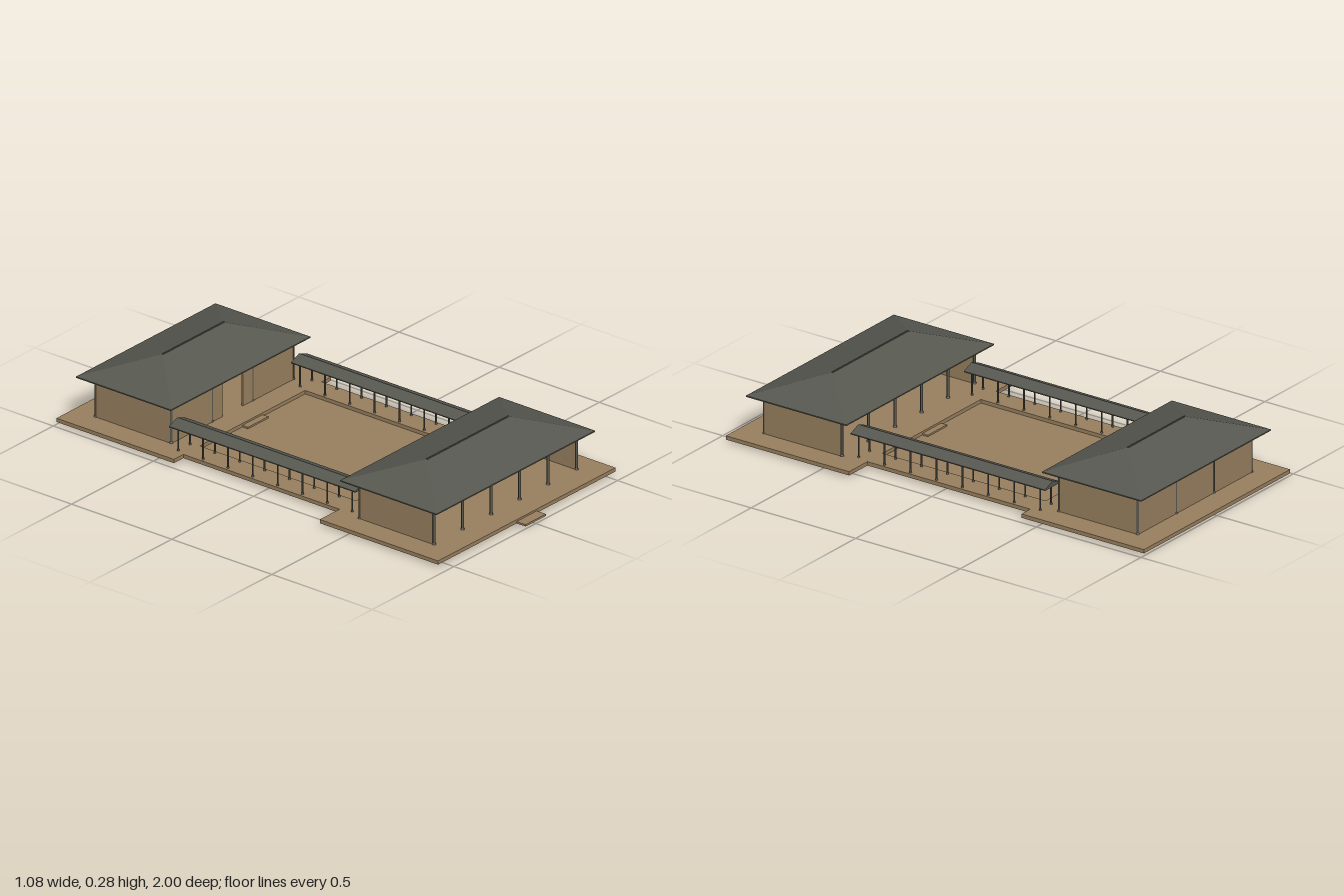
import * as THREE from 'three';

const tan = new THREE.MeshStandardMaterial({ color: 0x9a8160 });
tan.name = 'tan earth';
const slate = new THREE.MeshStandardMaterial({ color: 0x575850 });
slate.name = 'grey slate';

// Box given by its limits on each axis
function box(name, mat, [x0, x1], [y0, y1], [z0, z1]) {
  const mesh = new THREE.Mesh(new THREE.BoxGeometry(x1 - x0, y1 - y0, z1 - z0), mat);
  mesh.position.set((x0 + x1) / 2, (y0 + y1) / 2, (z0 + z1) / 2);
  mesh.name = name;
  return mesh;
}

// Round post on a wider foot
function column(x, z, y0, y1, r) {
  const g = new THREE.Group();
  g.name = 'column';
  const shaft = new THREE.Mesh(new THREE.CylinderGeometry(r, r, y1 - y0, 8), slate);
  shaft.position.set(x, (y0 + y1) / 2, z);
  shaft.name = 'shaft';
  const foot = new THREE.Mesh(new THREE.CylinderGeometry(r * 1.1, r * 1.5, 0.006, 8), slate);
  foot.position.set(x, y0 + 0.003, z);
  foot.name = 'foot';
  g.add(shaft, foot);
  return g;
}

// Hipped roof: a box whose upper corners are drawn in to the ridge, over a thin eave slab
function hipRoof(halfX, halfZ, ridgeHalf, z, y0, yEave, yRidge) {
  const g = new THREE.Group();
  g.name = 'hipRoof';
  g.add(box('eaveSlab', slate, [-halfX, halfX], [y0, yEave], [z - halfZ, z + halfZ]));
  const geo = new THREE.BoxGeometry(halfX * 2, yRidge - yEave, halfZ * 2).toNonIndexed();
  const p = geo.attributes.position;
  for (let i = 0; i < p.count; i++) {
    if (p.getY(i) > 0) {
      p.setX(i, Math.sign(p.getX(i)) * ridgeHalf);
      p.setZ(i, Math.sign(p.getZ(i)) * 0.002);
    }
  }
  geo.computeVertexNormals();
  const slopes = new THREE.Mesh(geo, slate);
  slopes.position.set(0, (yEave + yRidge) / 2, z);
  slopes.name = 'slopes';
  g.add(slopes);
  g.add(box('ridgeCap', slate, [-ridgeHalf, ridgeHalf], [yRidge - 0.004, yRidge + 0.003], [z - 0.003, z + 0.003]));
  return g;
}

// Covered walk: floor, two rows of posts and a long gabled roof
function gallery(side) {
  const g = new THREE.Group();
  g.name = side > 0 ? 'leftGallery' : 'rightGallery';
  const xc = side * 0.372;
  g.add(box('galleryFloor', tan, [xc - 0.05, xc + 0.05], [0.01, 0.026], [-0.42, 0.37]));
  for (const dx of [-0.036, 0.036]) {
    for (let i = 0; i < 8; i++) g.add(column(xc + dx, 0.417 - i * 0.124, 0.026, 0.125, 0.0035));
    g.add(box('galleryBeam', slate, [xc + dx - 0.003, xc + dx + 0.003], [0.119, 0.126], [-0.455, 0.42]));
  }
  const s = new THREE.Shape();
  s.moveTo(-0.051, 0.121);
  s.lineTo(0.051, 0.121);
  s.lineTo(0.051, 0.125);
  s.lineTo(0, 0.145);
  s.lineTo(-0.051, 0.125);
  s.closePath();
  const roof = new THREE.Mesh(new THREE.ExtrudeGeometry(s, { depth: 0.93, bevelEnabled: false }), slate);
  roof.position.set(xc, 0, -0.485);
  roof.name = 'galleryRoof';
  g.add(roof);
  return g;
}

// Hall: side walls, rows of columns front and back, and a hipped roof
function hall(name, halfX, zBack, zFront, top, count) {
  const g = new THREE.Group();
  g.name = name;
  const t = 0.004;
  for (const s of [-1, 1]) {
    g.add(box('sideWall', tan, [s * halfX - t, s * halfX + t], [0.026, top], [zBack, zFront]));
  }
  for (let i = 0; i < count; i++) {
    const x = -halfX + (2 * halfX * i) / (count - 1);
    for (const z of [zBack, zFront]) g.add(column(x, z, 0.026, top, 0.0055));
  }
  return g;
}

export function createModel() {
  const model = new THREE.Group();
  model.name = 'courtyardCompound';

  // Ground, platforms and steps
  model.add(box('courtyard', tan, [-0.325, 0.325], [0, 0.011], [-0.415, 0.37]));
  model.add(box('frontPlatform', tan, [-0.542, 0.542], [0.01, 0.026], [0.365, 0.955]));
  model.add(box('backPlatform', tan, [-0.48, 0.48], [0.01, 0.026], [-1, -0.414]));
  model.add(box('frontStep', tan, [-0.062, 0.062], [0.01, 0.018], [0.955, 1]));
  model.add(box('courtStepFront', tan, [-0.062, 0.062], [0.01, 0.018], [0.338, 0.366]));
  model.add(box('courtStepBack', tan, [-0.062, 0.062], [0.01, 0.018], [-0.415, -0.386]));

  // Open front hall
  const front = hall('frontHall', 0.435, 0.477, 0.848, 0.187, 6);
  front.add(hipRoof(0.485, 0.24, 0.25, 0.66, 0.184, 0.189, 0.265));
  model.add(front);

  // Back hall with a closed rear and a doorway toward the court
  const back = hall('backHall', 0.372, -0.892, -0.516, 0.197, 4);
  back.add(box('rearWall', tan, [-0.372, 0.372], [0.026, 0.197], [-0.896, -0.888]));
  for (const s of [-1, 1]) {
    const xs = [s * 0.062, s * 0.372].sort((a, b) => a - b);
    back.add(box('doorWall', tan, xs, [0.026, 0.197], [-0.52, -0.512]));
  }
  back.add(hipRoof(0.426, 0.237, 0.187, -0.71, 0.195, 0.2, 0.279));
  model.add(back);

  model.add(gallery(1), gallery(-1));
  return model;
}
